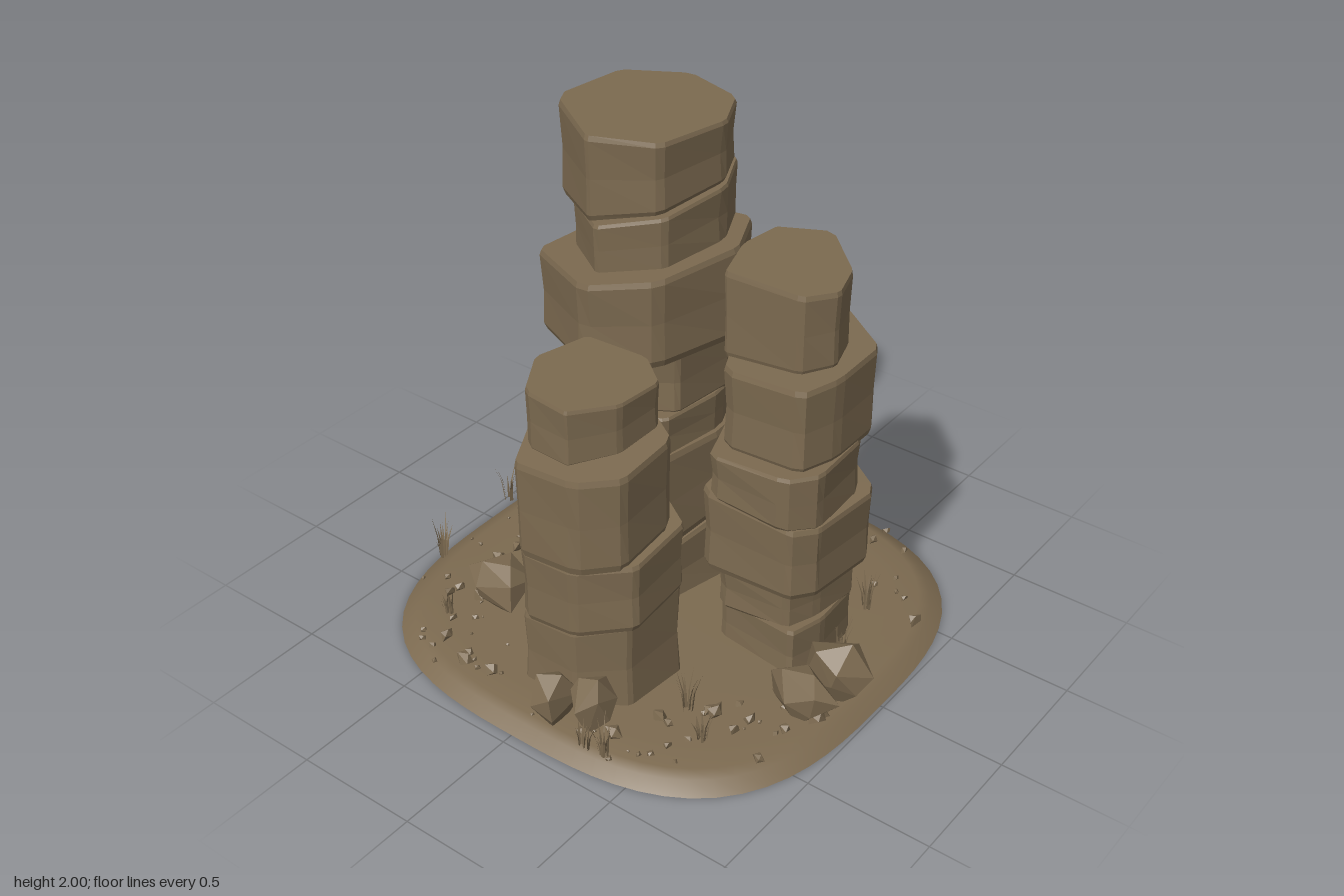
import * as THREE from 'three';
import { mergeGeometries } from 'three/addons/utils/BufferGeometryUtils.js';
import { ConvexGeometry } from 'three/addons/geometries/ConvexGeometry.js';

const stone = new THREE.MeshStandardMaterial({ color: 0x7c6a50, side: THREE.DoubleSide });
stone.name = 'brown stone';

// Small seeded random generator
let seed = 7;
function rnd(a = 0, b = 1) {
  seed = (seed * 16807) % 2147483647;
  return a + (b - a) * (seed / 2147483647);
}

function addMesh(parent, name, geometry) {
  const mesh = new THREE.Mesh(geometry, stone);
  mesh.name = name;
  parent.add(mesh);
}

// Faceted geometry from a flat list of Vector3 triangles
function facets(points) {
  const g = new THREE.BufferGeometry().setFromPoints(points);
  g.computeVertexNormals();
  return g;
}

// Low mound: rounded-square plan with a sloping rim
function moundGeometry() {
  const profile = [[0, 0.06], [0.5, 0.06], [0.8, 0.056], [0.91, 0.05], [0.95, 0.036], [1, 0]];
  const n = 72, pos = [], idx = [];
  profile.forEach(([r, y]) => {
    for (let i = 0; i < n; i++) {
      const a = (i / n) * Math.PI * 2, c = Math.cos(a), s = Math.sin(a);
      const k = r / Math.pow(Math.abs(c) ** 2.95 + Math.abs(s) ** 2.95, 1 / 2.95);
      pos.push(0.018 + c * k * 0.97, y, s * k * 0.955);
    }
  });
  for (let j = 0; j < profile.length - 1; j++) for (let i = 0; i < n; i++) {
    const a = j * n + i, b = j * n + (i + 1) % n;
    if (j > 0) idx.push(a, b, a + n);
    idx.push(b, b + n, a + n);
  }
  const g = new THREE.BufferGeometry();
  g.setAttribute('position', new THREE.Float32BufferAttribute(pos, 3));
  g.setIndex(idx);
  g.computeVertexNormals();
  return g;
}

// Jittered outline with chipped corners, fitted to -1..1 on both axes
function slabOutline(poly) {
  const base = poly.map(([x, z]) => [x + rnd(-0.025, 0.025), z + rnd(-0.025, 0.025)]);
  const pts = [];
  base.forEach((p, i) => {
    const prev = base[(i + base.length - 1) % base.length], next = base[(i + 1) % base.length];
    const t = rnd(0.03, 0.12);
    for (const q of [prev, next]) pts.push([p[0] + (q[0] - p[0]) * t, p[1] + (q[1] - p[1]) * t]);
  });
  for (const k of [0, 1]) {
    const v = pts.map(p => p[k]), lo = Math.min(...v), hi = Math.max(...v);
    pts.forEach(p => { p[k] = ((p[k] - lo) / (hi - lo)) * 2 - 1; });
  }
  return pts;
}

// One slab between two tilted joints [y, slopeX, slopeZ], inside the box [x0, x1, z0, z1]
function slabGeometry(poly, low, high, [x0, x1, z0, z1], isFoot) {
  const outline = slabOutline(poly), n = outline.length;
  const cx = (x0 + x1) / 2, cz = (z0 + z1) / 2;
  const at = ([x, z], t, s) => {
    const px = x * s * (x1 - x0) / 2, pz = z * s * (z1 - z0) / 2;
    const y = j => j[0] + j[1] * px + j[2] * pz;
    return new THREE.Vector3(cx + px, y(low) * (1 - t) + y(high) * t, cz + pz);
  };
  const chips = outline.map(() => rnd(-0.02, 0.015));
  const levels = [[0, isFoot ? 1.02 : 0.95], [0.08, isFoot ? 1.01 : 0.985], [0.5, 0.98], [0.94, 1], [1, 0.98]];
  const rings = levels.map(([t, s], j) => outline.map((p, i) => at(p, t, s + (j === 2 ? chips[i] : 0))));
  const tri = [];
  for (let j = 0; j < rings.length - 1; j++) for (let i = 0; i < n; i++) {
    const k = (i + 1) % n, a = rings[j][i], b = rings[j][k], c = rings[j + 1][k], d = rings[j + 1][i];
    tri.push(a, d, c, a, c, b);
  }
  const top = rings[rings.length - 1], bottom = rings[0];
  for (let i = 0; i < n; i++) {
    const k = (i + 1) % n;
    tri.push(at([0, 0], 1, 1), top[k], top[i]);
    if (!isFoot) tri.push(at([0, 0], 0, 1), bottom[i], bottom[k]);
  }
  return facets(tri);
}

function column(name, poly, joints, boxes) {
  const g = new THREE.Group();
  g.name = name;
  boxes.forEach((box, i) => {
    const [y, sx, sz] = joints[i];
    const low = [y - (i ? 0.015 : 0), sx, sz];
    addMesh(g, `${name}Slab${i + 1}`, slabGeometry(poly, low, joints[i + 1], box, i === 0));
  });
  return g;
}

// Angular rock: hull of points scattered on an ellipsoid
function rockGeometry(x, y, z, w, h, d, count = 12) {
  const pts = [];
  for (let i = 0; i < count; i++) {
    const v = 1 - 2 * (i + 0.5) / count, a = i * 2.4 + rnd(-0.6, 0.6), r = Math.sqrt(1 - v * v);
    const k = rnd(0.85, 1.2);
    pts.push(new THREE.Vector3(x + Math.cos(a) * r * k * w / 2, y + v * k * h / 2, z + Math.sin(a) * r * k * d / 2));
  }
  return new ConvexGeometry(pts);
}

// Tuft of thin leaning blades
function tuftGeometry(x, z, height) {
  const tri = [];
  for (let i = 0; i < 11; i++) {
    const a = rnd(0, 6.28), h = height * rnd(0.4, 1), lean = rnd(0.1, 0.3) * h, w = 0.005;
    const c = Math.cos(a), s = Math.sin(a);
    const bx = x + c * rnd(0, 0.025), bz = z + s * rnd(0, 0.025);
    const p = (t, side) => new THREE.Vector3(
      bx + c * lean * t * t - s * w * side, 0.045 + h * t, bz + s * lean * t * t + c * w * side);
    tri.push(p(0, -1), p(0, 1), p(0.5, 0.8), p(0, -1), p(0.5, 0.8), p(0.5, -0.8),
      p(0.5, -0.8), p(0.5, 0.8), p(1, 0));
  }
  return facets(tri);
}

export function createModel() {
  seed = 7;
  const model = new THREE.Group();
  model.name = 'rockColumns';
  addMesh(model, 'mound', moundGeometry());

  // Stacked stone columns
  model.add(column('tallColumn',
    [[-0.6, -0.1], [-0.56, -0.44], [-0.31, -0.58], [-0.06, -0.55], [0.06, -0.31], [-0.01, -0.02], [-0.28, 0.1]],
    [[0.01, 0, 0], [0.35, 0.05, -0.2], [0.73, 0.08, 0], [0.9, 0.06, 0], [1.14, 0.14, 0.02],
      [1.49, 0.18, -0.03], [1.7, 0.2, -0.08], [2, 0, 0]],
    [[-0.65, 0.1, -0.63, 0.15], [-0.58, 0.08, -0.5, 0.21], [-0.56, 0.06, -0.5, 0.15], [-0.54, 0.06, -0.59, 0.1],
      [-0.61, 0.13, -0.52, 0.22], [-0.5, 0.04, -0.54, 0.12], [-0.6, 0.02, -0.56, 0.1]]));
  model.add(column('rightColumn',
    [[0.17, -0.2], [0.2, -0.4], [0.4, -0.47], [0.63, -0.3], [0.64, -0.1], [0.56, 0], [0.24, -0.02]],
    [[0.01, 0, 0], [0.25, 0.06, 0], [0.41, 0.05, 0.03], [0.74, -0.06, 0], [0.94, 0.08, 0],
      [1.28, 0.1, -0.03], [1.6, 0, 0]],
    [[0.22, 0.7, -0.46, 0.12], [0.22, 0.7, -0.45, 0.12], [0.2, 0.74, -0.48, 0.14], [0.2, 0.71, -0.49, 0.15],
      [0.18, 0.7, -0.5, 0.09], [0.17, 0.64, -0.47, 0]]));
  model.add(column('frontColumn',
    [[-0.24, 0.46], [-0.17, 0.27], [0.07, 0.23], [0.21, 0.33], [0.19, 0.57], [0.07, 0.68], [-0.14, 0.67]],
    [[0.01, 0, 0], [0.42, 0.14, -0.15], [0.71, 0.09, -0.14], [1.09, 0.08, -0.09], [1.3, 0, 0]],
    [[-0.24, 0.31, 0.24, 0.73], [-0.25, 0.33, 0.22, 0.74], [-0.24, 0.3, 0.26, 0.75], [-0.24, 0.21, 0.23, 0.68]]));

  // Broken block clinging to the front column
  addMesh(model, 'columnBlock', rockGeometry(-0.19, 0.54, 0.5, 0.16, 0.32, 0.26));

  // Boulders around the foot: x, y, z, width, height, depth
  [[-0.5, 0.15, 0.44, 0.27, 0.23, 0.22], [0.1, 0.15, 0.82, 0.17, 0.23, 0.19], [0.24, 0.16, 0.78, 0.15, 0.27, 0.17],
    [0.82, 0.15, 0.08, 0.33, 0.26, 0.2], [0.79, 0.13, 0.24, 0.28, 0.24, 0.17], [0.26, 0.13, -0.65, 0.2, 0.22, 0.2],
    [0.4, 0.15, -0.64, 0.14, 0.26, 0.24], [-0.11, 0.15, -0.64, 0.17, 0.24, 0.18], [-0.47, 0.16, -0.56, 0.12, 0.28, 0.15],
    [-0.72, 0.1, -0.3, 0.15, 0.16, 0.16], [0.1, 0.08, -0.75, 0.08, 0.08, 0.07]]
    .forEach(r => addMesh(model, 'boulder', rockGeometry(...r)));

  // Pebbles scattered on the open ground
  const columns = [[-0.27, -0.22, 0.44], [0.46, -0.18, 0.38], [0.04, 0.48, 0.36]];
  const pebbles = [];
  while (pebbles.length < 130) {
    const a = rnd(0, 6.28), r = rnd(0.68, 1), x = Math.cos(a) * r, z = Math.sin(a) * r;
    if (Math.abs(x) > 0.88 || Math.abs(z) > 0.89) continue;
    if (columns.some(([cx, cz, cr]) => Math.hypot(x - cx, z - cz) < cr)) continue;
    const s = 0.015 + 0.05 * rnd() ** 2;
    pebbles.push(rockGeometry(x, 0.055 + s * 0.3, z, s * rnd(0.8, 1.3), s, s * rnd(0.8, 1.3), 8));
  }
  addMesh(model, 'pebbles', mergeGeometries(pebbles));

  // Grass tufts: x, z, height
  const tufts = [[-0.94, -0.1, 0.25], [-0.89, 0.36, 0.2], [-0.72, 0.04, 0.21], [-0.6, 0.17, 0.18],
    [-0.63, -0.66, 0.18], [-0.62, 0.62, 0.15], [-0.15, -0.78, 0.21], [0.46, -0.64, 0.18], [0.67, -0.4, 0.2],
    [0.72, -0.14, 0.17], [0.46, 0.5, 0.21], [0.6, 0.6, 0.17], [0.36, 0.86, 0.17], [0.28, 0.88, 0.13],
    [0.15, -0.85, 0.2], [-0.3, -0.86, 0.22]];
  addMesh(model, 'grassTufts', mergeGeometries(tufts.map(t => tuftGeometry(...t))));
  return model;
}
